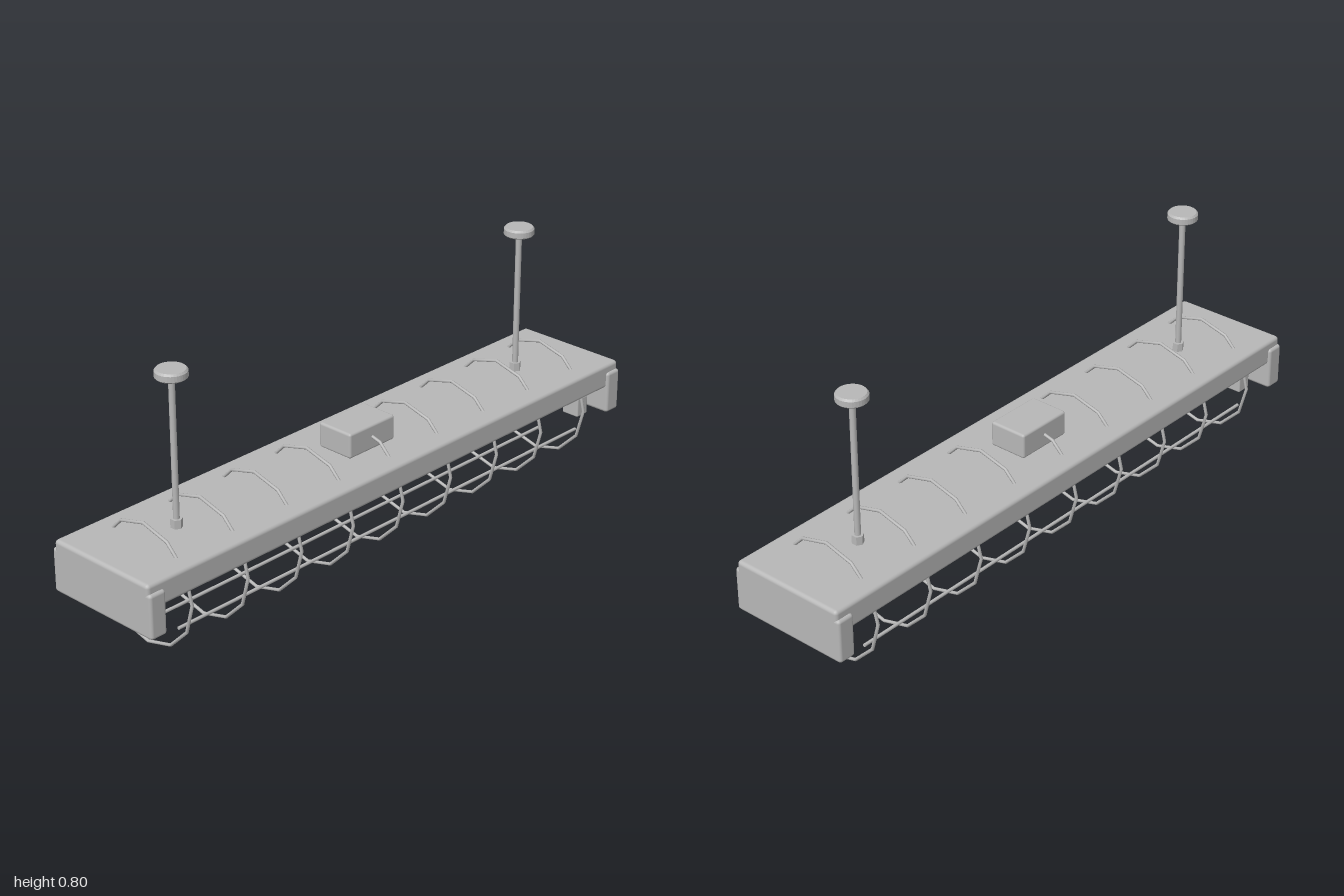
import * as THREE from 'three';
import { RoundedBoxGeometry } from 'three/addons/geometries/RoundedBoxGeometry.js';

export function createModel() {
  const model = new THREE.Group();
  model.name = 'caged ceiling lamp';
  const metal = new THREE.MeshStandardMaterial({ color: 0xb8b8b8 });
  metal.name = 'grey metal';

  const add = (name, geometry, x, y, z) => {
    const mesh = new THREE.Mesh(geometry, metal);
    mesh.name = name;
    mesh.position.set(x, y, z);
    model.add(mesh);
    return mesh;
  };
  const box = (name, w, h, d, radius, x, y, z) =>
    add(name, new RoundedBoxGeometry(w, h, d, 2, radius), x, y, z);

  // Long housing and the junction box on top of it
  box('housing', 2, 0.08, 0.38, 0.012, 0, 0.28, 0);
  box('junctionBox', 0.19, 0.08, 0.126, 0.008, 0, 0.36, 0);

  // Tapered reflector under the housing
  const profile = new THREE.Shape([
    [-0.17, 0.25], [-0.1, 0.22], [0.1, 0.22], [0.17, 0.25],
  ].map(([z, y]) => new THREE.Vector2(z, y)));
  const reflector = new THREE.ExtrudeGeometry(profile, { depth: 1.9, bevelEnabled: false });
  reflector.translate(0, 0, -0.95).rotateY(Math.PI / 2);
  add('reflector', reflector, 0, 0, 0);

  // Parts repeated at both ends
  const canopyProfile = [[0, 0.773], [0.043, 0.773], [0.047, 0.777], [0.047, 0.794], [0.042, 0.8], [0, 0.8]]
    .map(([r, y]) => new THREE.Vector2(r, y));
  for (const side of [-1, 1]) {
    box('endCap', 0.058, 0.138, 0.398, 0.01, side * 0.971, 0.224, 0);
    for (const z of [-0.09, 0.09]) {
      box('lampSocket', 0.05, 0.064, 0.062, 0.005, side * 0.918, 0.163, z);
    }
    // Hanging rod with hexagonal nut and ceiling canopy
    add('hangingRod', new THREE.CylinderGeometry(0.0095, 0.0095, 0.46, 10), side * 0.72, 0.547, 0);
    const nut = new THREE.CylinderGeometry(0.018, 0.018, 0.03, 6).toNonIndexed();
    nut.computeVertexNormals();
    add('rodNut', nut, side * 0.72, 0.332, 0);
    const canopy = add('ceilingCanopy', new THREE.LatheGeometry(canopyProfile, 32), side * 0.72, 0, 0);
    canopy.geometry = canopy.geometry.toNonIndexed();
    canopy.geometry.computeVertexNormals();
  }

  // Twelve-sided guard hoops passing through the housing
  const hoop = new THREE.TorusGeometry(0.1855, 0.005, 8, 12);
  hoop.rotateZ(Math.PI / 2).rotateY(Math.PI / 2);
  for (let i = -4; i <= 4; i++) add('guardHoop', hoop, i * 0.21, 0.193, 0);

  // Straight guard wires
  const wire = new THREE.CylinderGeometry(0.005, 0.005, 1.71, 8).rotateZ(Math.PI / 2);
  for (const [y, z] of [[0.113, -0.144], [0.073, 0], [0.113, 0.144]]) add('guardWire', wire, 0, y, z);

  return model;
}
